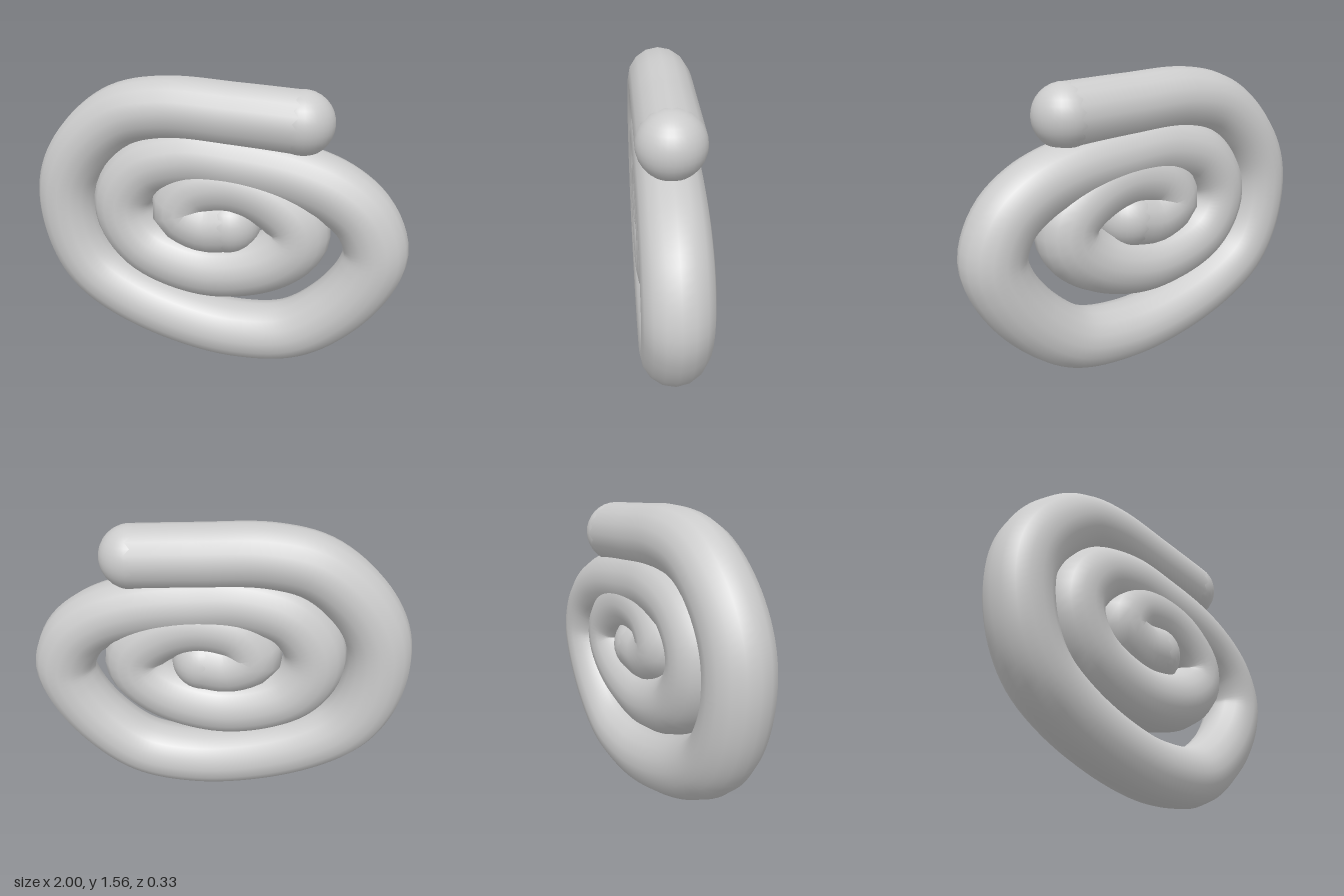
import * as THREE from 'three';

const RADIUS = 0.164;

// Spiral centreline in the xy plane, from the outer tip to the core
const PATH = [
  [0.43, 1.37], [0.1, 1.39], [-0.27, 1.405], [-0.5, 1.355], [-0.7, 1.2],
  [-0.81, 1.02], [-0.836, 0.84], [-0.79, 0.62], [-0.69, 0.46], [-0.5, 0.33],
  [-0.2, 0.22], [0.12, 0.173], [0.42, 0.215], [0.65, 0.38], [0.8, 0.59],
  [0.836, 0.73], [0.77, 0.9], [0.63, 1.02], [0.42, 1.1], [0.13, 1.145],
  [-0.15, 1.16], [-0.38, 1.09], [-0.5, 0.94], [-0.5, 0.8], [-0.38, 0.64],
  [-0.05, 0.54], [0.28, 0.61], [0.43, 0.74], [0.43, 0.85], [0.28, 0.98],
  [0.08, 1.035], [-0.12, 0.99], [-0.19, 0.87], [-0.07, 0.8], [0.075, 0.81],
];

export function createModel() {
  const group = new THREE.Group();
  const material = new THREE.MeshStandardMaterial({ color: 0xcccccc });
  const points = PATH.map(([x, y]) => new THREE.Vector3(x, y, 0));
  const curve = new THREE.CatmullRomCurve3(points, false, 'centripetal');

  // Coiled round tube
  const coil = new THREE.Mesh(new THREE.TubeGeometry(curve, 220, RADIUS, 16), material);
  coil.name = 'spiralCoil';
  group.add(coil);

  // Rounded tips closing both ends
  const addTip = (name, position) => {
    const tip = new THREE.Mesh(new THREE.SphereGeometry(RADIUS, 32, 16), material);
    tip.name = name;
    tip.position.copy(position);
    group.add(tip);
  };
  addTip('outerTip', points[0]);
  addTip('innerTip', points[points.length - 1]);

  return group;
}
